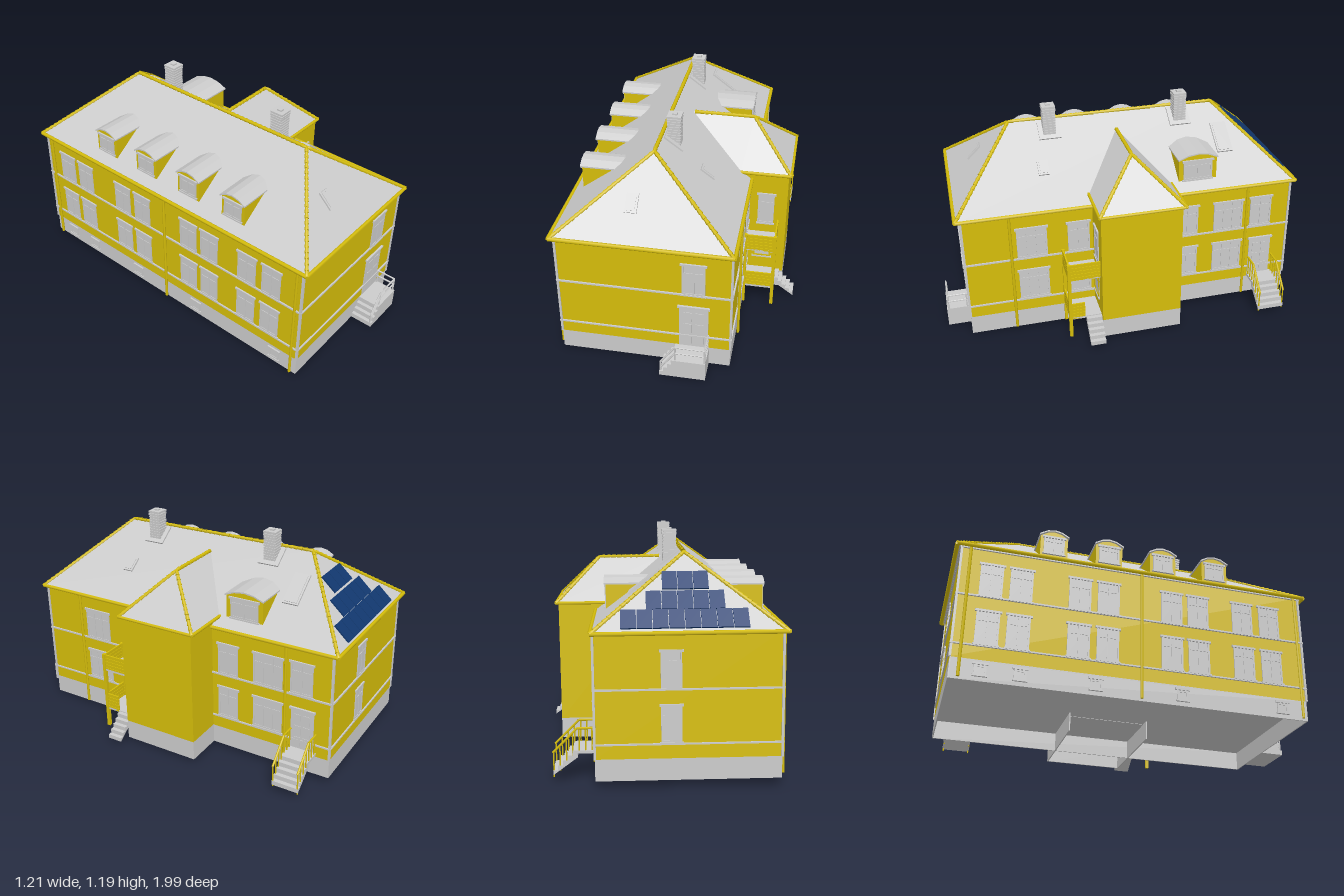
import * as THREE from 'three';

const grey = new THREE.MeshStandardMaterial({ color: 0xcccccc, flatShading: true, side: THREE.DoubleSide });
const yellow = new THREE.MeshStandardMaterial({ color: 0xd6be0a });
const blue = new THREE.MeshStandardMaterial({ color: 0x12386f });
const V = (x, y, z) => new THREE.Vector3(x, y, z);

// Overall measures: walls, eaves, ridge
const X0 = -0.575, X1 = 0.315, Z0 = -0.975, Z1 = 0.86, BASE = 0.108, TOP = 0.72;
const E = { x0: -0.595, x1: 0.325, z0: -1.0, z1: 0.887, y: 0.715 };
const R = { x: -0.133, z0: -0.64, z1: 0.53, y: 1.055 };
const T = { x: 0.525, z0: -0.28, z1: 0.16, top: 0.76 };

function add(parent, name, geo, mat = grey) {
  const m = new THREE.Mesh(geo, mat);
  m.name = name;
  parent.add(m);
  return m;
}
// Box given by its extents
function box(parent, name, x0, x1, y0, y1, z0, z1, mat) {
  const m = add(parent, name, new THREE.BoxGeometry(x1 - x0, y1 - y0, z1 - z0), mat);
  m.position.set((x0 + x1) / 2, (y0 + y1) / 2, (z0 + z1) / 2);
  return m;
}
function group(parent, name) {
  const g = new THREE.Group();
  g.name = name;
  parent.add(g);
  return g;
}
// Turn a mesh built along y so that it runs from a to b
function along(m, a, b) {
  m.position.copy(a).lerp(b, 0.5);
  m.quaternion.setFromUnitVectors(V(0, 1, 0), b.clone().sub(a).normalize());
  return m;
}
const bar = (p, name, a, b, r, mat) => along(add(p, name, new THREE.CylinderGeometry(r, r, a.distanceTo(b), 6), mat), a, b);
// Row of overlapping ridge tiles
function ridgeTiles(p, a, b) {
  const len = a.distanceTo(b), n = Math.round(len / 0.03), pts = [new THREE.Vector2(0, -len / 2)];
  for (let i = 0; i < n; i++) {
    pts.push(new THREE.Vector2(0.012, -len / 2 + i * len / n));
    pts.push(new THREE.Vector2(0.008, -len / 2 + (i + 1) * len / n));
  }
  pts.push(new THREE.Vector2(0, len / 2));
  along(add(p, 'ridgeTiles', new THREE.LatheGeometry(pts, 6), yellow), a, b);
}
// Polygons as triangle fans
function polygons(list) {
  const v = [];
  for (const f of list) for (let i = 1; i < f.length - 1; i++) for (const q of [f[0], f[i], f[i + 1]]) v.push(q.x, q.y, q.z);
  const g = new THREE.BufferGeometry();
  g.setAttribute('position', new THREE.Float32BufferAttribute(v, 3));
  g.computeVertexNormals();
  return g;
}
// Put an item built facing +z on one of the walls; u runs along the wall
function onWall(item, face, u, y, out = 0) {
  if (face === 'front') item.position.set(u, y, Z1 + out);
  if (face === 'back') { item.position.set(u, y, Z0 - out); item.rotation.y = Math.PI; }
  if (face === 'right') { item.position.set(X1 + out, y, u); item.rotation.y = Math.PI / 2; }
  if (face === 'left') { item.position.set(X0 - out, y, u); item.rotation.y = -Math.PI / 2; }
  return item;
}
// Window with lintel, sill, frame and casements; origin at the bottom centre
function makeWindow(p, w, h, casements, frame = grey) {
  const g = group(p, 'window'), s = 0.009;
  box(g, 'pane', -w / 2, w / 2, 0, h, -0.004, 0.003);
  for (let i = 0; i <= casements; i++) {
    const x = -w / 2 + s / 2 + i * (w - s) / casements;
    box(g, 'frameUpright', x - s / 2, x + s / 2, 0, h, 0, 0.006, frame);
  }
  for (const y of [0, h * 0.68, h - s]) box(g, 'frameRail', -w / 2, w / 2, y, y + s, 0, 0.006, frame);
  box(g, 'sill', -w / 2 - 0.006, w / 2 + 0.006, -0.008, 0, -0.002, 0.01);
  box(g, 'lintel', -w / 2 - 0.008, w / 2 + 0.008, h - 0.008, h + 0.004, -0.002, 0.009);
  return g;
}
// Panelled door
function makeDoor(p, w, h) {
  const g = group(p, 'door');
  box(g, 'doorLeaf', -w / 2, w / 2, 0, h, -0.004, 0.004);
  for (const sx of [-1, 1]) for (let r = 0; r < 3; r++) {
    const x = sx * w * 0.2, y = h * (0.06 + r * 0.29);
    box(g, 'doorPanel', x - w * 0.14, x + w * 0.14, y, y + h * 0.23, 0, 0.007);
  }
  box(g, 'doorHead', -w / 2 - 0.008, w / 2 + 0.008, h - 0.004, h + 0.008, -0.002, 0.012);
  return g;
}
// Dormer with a shallow arched roof, facing +z
function makeDormer(p, w, sideH, archH, depth) {
  const g = group(p, 'dormer');
  const arc = (k, y0) => [0, 1, 2, 3, 4].map(i => new THREE.Vector2((i / 2 - 1) * k, y0 + archH * (1 - (i / 2 - 1) ** 2)));
  const ext = (pts, d) => new THREE.ExtrudeGeometry(new THREE.Shape(pts), { depth: d, bevelEnabled: false }).translate(0, 0, -depth);
  add(g, 'dormerWalls', ext([new THREE.Vector2(-w / 2, -0.025), new THREE.Vector2(w / 2, -0.025), ...arc(w / 2, sideH).reverse()], depth), yellow);
  add(g, 'dormerRoof', ext([...arc(w / 2 + 0.006, sideH), ...arc(w / 2 + 0.006, sideH + 0.008).reverse()], depth + 0.01));
  const win = makeWindow(g, w * 0.76, sideH * 0.86, 2);
  win.position.y = 0.012;
  return g;
}
// Flight of steps along x, solid to the ground or with a sloping underside
function stairs(p, xl, yl, xh, yh, z0, z1, n, solid) {
  const s = new THREE.Shape().moveTo(xl, yl), dx = (xh - xl) / n, dy = (yh - yl) / n;
  for (let i = 0; i < n; i++) s.lineTo(xl + i * dx, yl + (i + 1) * dy).lineTo(xl + (i + 1) * dx, yl + (i + 1) * dy);
  if (solid) s.lineTo(xh, yl); else s.lineTo(xh, yh - dy * 1.4);
  add(p, 'steps', new THREE.ExtrudeGeometry(s, { depth: z1 - z0, bevelEnabled: false }).translate(0, 0, z0));
}
// Plates lying on the roof slopes
function onRoof(m, side, u, lift = 0.004) {
  const kx = (E.y - R.y) / (E.x1 - R.x);
  if (side === 'right') {
    m.position.set(u.x, R.y + kx * (u.x - R.x) + lift, u.z);
    m.rotation.z = Math.atan(kx);
  } else {
    const [r, e] = side === 'front' ? [R.z1, E.z1] : [R.z0, E.z0], k = (E.y - R.y) / (e - r);
    m.position.set(u.x, R.y + k * (u.z - r) + lift, u.z);
    m.rotation.x = -Math.atan(k);
  }
  return m;
}

function buildWalls(h) {
  const w = group(h, 'walls');
  box(w, 'mainWalls', X0, X1, BASE, TOP, Z0, Z1, yellow);
  box(w, 'towerWalls', 0, T.x, BASE + 0.002, T.top, T.z0, T.z1, yellow);
  // Open plinth skirt and floors
  const t = 0.006;
  box(w, 'floor', X0, X1, BASE - 0.006, BASE, Z0, Z1);
  box(w, 'towerFloor', 0, T.x, BASE - 0.008, BASE + 0.002, T.z0, T.z1);
  for (const z of [Z0, Z1 - t]) box(w, 'plinth', X0, X1, 0, BASE, z, z + t);
  for (const x of [X0, X1 - t]) box(w, 'plinth', x, x + t, 0, BASE, Z0, Z1);
  for (const z of [T.z0, T.z1 - t]) box(w, 'towerPlinth', -0.05, T.x, 0, BASE, z, z + t);
  box(w, 'towerPlinth', T.x - t, T.x, 0, BASE, T.z0, T.z1);
  // String courses, interrupted by the tower
  for (const [y, s] of [[0.176, 0.008], [0.44, 0.009], [0.704, 0.01]]) {
    for (const z of [Z0 - 0.008, Z1]) box(w, 'stringCourse', X0 - 0.008, X1 + 0.008, y, y + s, z, z + 0.008);
    box(w, 'stringCourse', X0 - 0.008, X0, y, y + s, Z0, Z1);
    box(w, 'stringCourse', X1, X1 + 0.008, y, y + s, Z0, T.z0);
    box(w, 'stringCourse', X1, X1 + 0.008, y, y + s, T.z1, Z1);
  }
  for (const x of [X0, X1]) for (const z of [Z0, Z1]) box(w, 'cornerStrip', x - 0.006, x + 0.006, BASE, TOP, z - 0.006, z + 0.006);
  // Downpipes
  for (const z of [0.61, -0.72]) bar(w, 'downpipe', V(X1 + 0.012, 0.01, z), V(X1 + 0.012, 0.71, z), 0.008, yellow);
  for (const z of [-0.93, -0.04, 0.83]) bar(w, 'downpipe', V(X0 - 0.012, 0.01, z), V(X0 - 0.012, 0.71, z), 0.008, yellow);
}

function buildOpenings(h) {
  const o = group(h, 'openings');
  const win = (face, u, y, w, ht, c) => onWall(makeWindow(o, w, ht, c), face, u, y);
  for (const y of [0.19, 0.45]) {
    for (const z of [-0.815, -0.665, -0.365, -0.215, 0.125, 0.27, 0.52, 0.675]) win('left', z, y, 0.115, 0.18, 2);
    for (const [z, w] of [[0.495, 0.165], [0.24, 0.12], [-0.377, 0.12], [-0.615, 0.17]]) win('right', z, y, w, 0.18, w > 0.15 ? 3 : 2);
    win('back', -0.05, y, 0.1, 0.18, 2);
  }
  win('right', -0.807, 0.455, 0.125, 0.18, 2);
  win('front', 0.123, 0.448, 0.118, 0.185, 2);
  onWall(makeDoor(o, 0.13, 0.235), 'right', -0.818, 0.13);
  onWall(makeDoor(o, 0.15, 0.255), 'front', 0.125, 0.11);
  for (const z of [0.72, 0.175, -0.27, -0.64, -0.83]) win('left', z, 0.03, 0.06, 0.06, 1);
  // Tower windows above the balcony floors
  makeWindow(o, 0.1, 0.145, 1, yellow).position.set(0.4, 0.21, T.z1);
  makeWindow(o, 0.09, 0.19, 1).position.set(0.41, 0.44, T.z1);
}

function buildRoof(h) {
  const g = group(h, 'roof');
  const c = [V(E.x0, E.y, E.z0), V(E.x1, E.y, E.z0), V(E.x1, E.y, E.z1), V(E.x0, E.y, E.z1)];
  const a = V(R.x, R.y, R.z0), b = V(R.x, R.y, R.z1);
  add(g, 'mainRoof', polygons([[c[1], c[0], a], [c[3], c[2], b], [c[2], c[1], a, b], [c[0], c[3], b, a], c]));
  for (const [p, q] of [[c[0], a], [c[1], a], [c[2], b], [c[3], b], [a, b]]) ridgeTiles(g, p, q);
  for (let i = 0; i < 4; i++) bar(g, 'gutter', c[i], c[(i + 1) % 4], 0.011, yellow);
  // Tower roof with one hipped end
  const zr = -0.06, y = 0.757, r0 = V(-0.05, 0.985, zr), r1 = V(0.305, 0.985, zr);
  const d = [V(0.26, y, -0.297), V(0.537, y, -0.297), V(0.537, y, 0.167), V(0.26, y, 0.167)];
  add(g, 'towerRoof', polygons([[d[1], d[0], r0, r1], [d[3], d[2], r1, r0], [d[2], d[1], r1], d]));
  for (const [p, q] of [[d[1], r1], [d[2], r1], [V(-0.03, 0.985, zr), r1]]) ridgeTiles(g, p, q);
  for (let i = 0; i < 3; i++) bar(g, 'towerGutter', d[i], d[i + 1], 0.009, yellow);
  // Dormers
  for (const z of [-0.505, -0.207, 0.093, 0.39]) onWall(makeDormer(g, 0.145, 0.115, 0.03, 0.22), 'left', z, 0.765, -0.04);
  onWall(makeDormer(g, 0.215, 0.13, 0.03, 0.22), 'right', -0.445, 0.757, -0.055);
  // Skylights: pane inside a raised frame
  for (const [side, x, z, sx, sz] of [['right', 0.117, 0.383, 0.09, 0.06], ['right', 0.067, -0.645, 0.19, 0.09], ['front', -0.207, 0.73, 0.062, 0.1]]) {
    const s = onRoof(group(g, 'skylight'), side, { x, z });
    box(s, 'skylightFrame', -sx / 2, sx / 2, -0.006, 0.006, -sz / 2, sz / 2);
    box(s, 'skylightPane', -sx / 2 + 0.01, sx / 2 - 0.01, 0, 0.009, -sz / 2 + 0.01, sz / 2 - 0.01);
  }
  // Solar panels
  for (const [x, z, n] of [[-0.415, -0.952, 8], [-0.31, -0.872, 5], [-0.24, -0.785, 3]])
    for (let i = 0; i < n; i++) onRoof(add(g, 'solarPanel', new THREE.BoxGeometry(0.072, 0.008, 0.108), blue), 'back', { x: x + 0.0375 + i * 0.075, z }, 0.014);
  // Chimneys in brick courses
  for (const z of [0.315, -0.43]) {
    const ch = group(g, 'chimney');
    onRoof(add(ch, 'flashing', new THREE.BoxGeometry(0.12, 0.012, 0.12)), 'right', { x: -0.068, z });
    for (let i = 0; i < 12; i++) {
      const s = i > 9 ? 0.037 : 0.035, y0 = 0.98 + i * 0.015;
      box(ch, 'brickCourse', -0.07 - s, -0.07 + s, y0, y0 + 0.011, z - s, z + s);
    }
    box(ch, 'chimneyCore', -0.101, -0.039, 0.97, 1.155, z - 0.031, z + 0.031);
    box(ch, 'flue', -0.083, -0.057, 1.15, 1.164, z - 0.013, z + 0.013);
  }
}

function buildPorches(h) {
  // Front entrance
  const f = group(h, 'frontPorch'), zf = 0.975;
  box(f, 'landing', 0.05, 0.205, 0, BASE, Z1, 0.985);
  stairs(f, -0.032, 0, 0.05, BASE, Z1, 0.985, 4, true);
  for (const dy of [0.045, 0.083]) {
    bar(f, 'handrail', V(0.05, BASE + dy, zf), V(0.2, BASE + dy, zf), 0.005);
    bar(f, 'handrail', V(0.2, BASE + dy, zf), V(0.2, BASE + dy, Z1), 0.005);
    bar(f, 'handrail', V(-0.027, dy, zf), V(0.05, BASE + dy, zf), 0.005);
  }
  for (const [x, y, z] of [[-0.027, 0, zf], [0.05, BASE, zf], [0.2, BASE, zf], [0.2, BASE, Z1 + 0.01]]) bar(f, 'railPost', V(x, y, z), V(x, y + 0.083, z), 0.005);
  // Side entrance
  const s = group(h, 'sidePorch');
  box(s, 'landing', X1, 0.4, 0.115, 0.13, -0.9, -0.75);
  stairs(s, 0.52, 0.008, 0.4, 0.13, -0.9, -0.75, 5, false);
  for (const z of [-0.895, -0.755]) {
    bar(s, 'handrail', V(X1, 0.24, z), V(0.4, 0.24, z), 0.006, yellow);
    bar(s, 'handrail', V(0.4, 0.24, z), V(0.52, 0.12, z), 0.006, yellow);
    for (let i = 0; i < 7; i++) {
      const x = 0.33 + i * 0.031, y = 0.13 - Math.max(0, x - 0.4);
      bar(s, 'baluster', V(x, y - 0.015, z), V(x, y + 0.11, z), 0.004, yellow);
    }
  }
  // Two-storey balcony beside the tower, with boarded parapets
  const b = group(h, 'balcony');
  for (const y of [0.115, 0.365]) {
    box(b, 'balconyFloor', X1, 0.485, y, y + 0.012, T.z1, 0.335);
    for (let i = 0; i < 5; i++) {
      const y0 = y + 0.002 + i * 0.02;
      box(b, 'frontBoard', X1, 0.485, y0, y0 + 0.018, 0.327, 0.335, yellow);
      box(b, 'sideBoard', 0.477, 0.485, y0, y0 + 0.018, y < 0.2 ? 0.25 : T.z1, 0.335, yellow);
    }
  }
  box(b, 'balconyPost', 0.472, 0.49, 0.005, 0.468, 0.322, 0.34, yellow);
  box(b, 'wallPost', X1, X1 + 0.014, 0.005, 0.468, 0.322, 0.338, yellow);
  stairs(b, 0.598, 0.008, 0.485, 0.122, 0.16, 0.245, 5, false);
}

export function createModel() {
  const root = new THREE.Group();
  root.name = 'house';
  const h = group(root, 'building');
  buildWalls(h);
  buildOpenings(h);
  buildRoof(h);
  buildPorches(h);
  // The house sits very slightly turned and tilted
  h.rotation.set(0.0186, 0.0115, -0.01);
  h.position.y = 0.02;
  return root;
}
